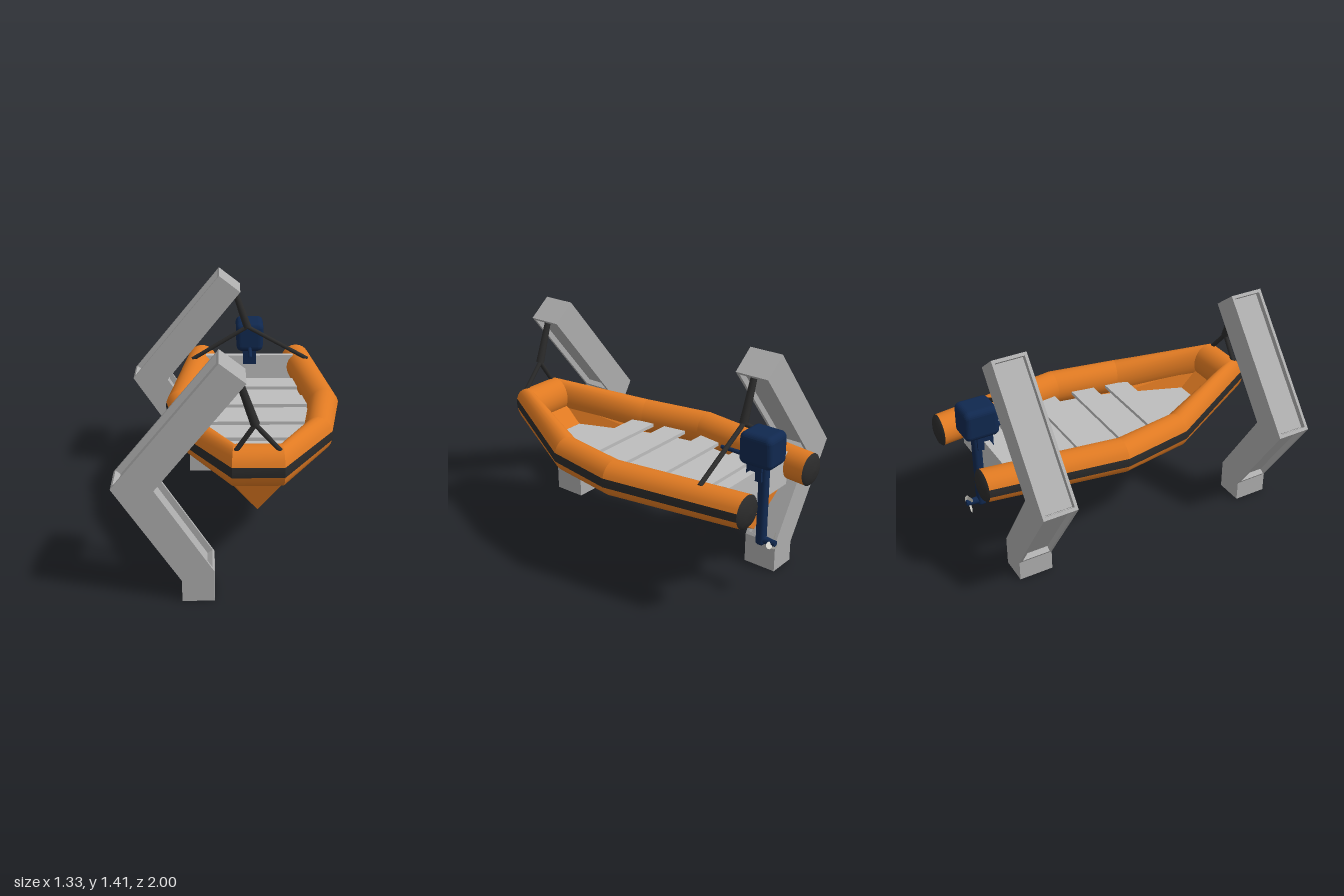
import * as THREE from 'three';
import { RoundedBoxGeometry } from 'three/addons/geometries/RoundedBoxGeometry.js';

const CX = 0.118; // centre line of the boat
const V = (x, y, z) => new THREE.Vector3(x, y, z);

function material(name, color, side = THREE.FrontSide) {
  const m = new THREE.MeshStandardMaterial({ color, side });
  m.name = name;
  return m;
}

// Flat faces from a list of three or four sided polygons
function facets(polys) {
  const pos = [];
  for (const p of polys) {
    for (let k = 1; k < p.length - 1; k++) for (const q of [p[0], p[k], p[k + 1]]) pos.push(...q);
  }
  const g = new THREE.BufferGeometry();
  g.setAttribute('position', new THREE.Float32BufferAttribute(pos, 3));
  g.computeVertexNormals();
  return g;
}

// Smooth skin between rings of points
function skin(rings) {
  const n = rings[0].length, index = [];
  for (let i = 0; i < rings.length - 1; i++) {
    for (let j = 0; j < n - 1; j++) {
      const a = i * n + j, b = a + n;
      index.push(a, a + 1, b, a + 1, b + 1, b);
    }
  }
  const g = new THREE.BufferGeometry().setFromPoints(rings.flat());
  g.setIndex(index);
  g.computeVertexNormals();
  return g;
}

export function createModel() {
  const root = new THREE.Group();
  root.name = 'inflatableBoatOnDavits';
  const orange = material('orange', 0xe07a22, THREE.DoubleSide);
  const black = material('black', 0x2b2b2b);
  const steel = material('davitGrey', 0xadadad);
  const deck = material('deckGrey', 0xbdbdbd, THREE.DoubleSide);
  const navy = material('navy', 0x10284f);
  const silver = material('silver', 0xd2d0c8, THREE.DoubleSide);

  const add = (name, geo, mat, parent = root) => {
    const m = new THREE.Mesh(geo, mat);
    m.name = name;
    parent.add(m);
    return m;
  };
  const group = (name) => {
    const g = new THREE.Group();
    g.name = name;
    root.add(g);
    return g;
  };
  const rod = (name, a, b, r0, r1, mat, parent) => {
    const m = add(name, new THREE.CylinderGeometry(r1, r0, a.distanceTo(b), 12), mat, parent);
    m.position.copy(a).add(b).multiplyScalar(0.5);
    m.quaternion.setFromUnitVectors(V(0, 1, 0), b.clone().sub(a).normalize());
    return m;
  };

  // Inflatable collar: stations of [offset, y, z, outward x, outward z, half width, half height]
  const side = [
    [0.33, 0.705, -0.97, 1, 0, 0.097, 0.1],
    [0.45, 0.697, -0.13, 1, 0, 0.096, 0.108],
    [0.378, 0.694, 0.298, 0.96, 0.27, 0.09, 0.11],
    [0.132, 0.778, 0.868, 0.1, 0.995, 0.103, 0.117],
  ];
  const stations = [...side, ...side.slice().reverse().map(([x, y, z, ax, ...r]) => [-x, y, z, -ax, ...r])];
  const N = 24;
  const arc = ([x, y, z, ax, az, h, v], j0, j1) => {
    const pts = [];
    for (let j = j0; j <= j1; j++) {
      const t = (j / N) * Math.PI * 2, c = Math.cos(t) * h;
      pts.push(V(CX + x + ax * c, y + Math.sin(t) * v, z + az * c));
    }
    return pts;
  };
  const collar = group('collar');
  for (let i = 0; i < stations.length - 1; i++) {
    const [a, b] = [stations[i], stations[i + 1]];
    add('collarTube', skin([arc(a, 1, N - 1), arc(b, 1, N - 1)]), orange, collar);
    add('rubbingStripe', skin([arc(a, -1, 1), arc(b, -1, 1)]), black, collar);
  }

  // Domed black ends of the collar
  const domeProfile = [[0.1, 0], [0.085, 0.014], [0.05, 0.025], [0, 0.03]].map((p) => new THREE.Vector2(...p));
  for (const s of [-1, 1]) {
    const cap = add('collarEndCap', new THREE.LatheGeometry(domeProfile, N), black, collar);
    cap.rotation.x = -Math.PI / 2;
    cap.position.set(CX + s * 0.33, 0.705, -0.97);
  }

  // V hull: [z, half width, top y, keel y, keel z]
  const hull = [
    [-0.81, 0.32, 0.61, 0.4, -0.81],
    [-0.72, 0.335, 0.61, 0.385, -0.72],
    [-0.13, 0.42, 0.61, 0.39, -0.13],
    [0.3, 0.36, 0.61, 0.395, 0.23],
    [0.91, 0.13, 0.68, 0.5, 0.86],
  ];
  const edge = (h, s) => [CX + s * h[1], h[2], h[0]];
  const keel = (h) => [CX, h[3], h[4]];
  const polys = [];
  for (let i = 0; i < hull.length - 1; i++) {
    const [a, b] = [hull[i], hull[i + 1]];
    polys.push([edge(a, 1), edge(b, 1), keel(b), keel(a)], [edge(a, -1), keel(a), keel(b), edge(b, -1)]);
  }
  const [stern, bow] = [hull[0], hull[4]];
  polys.push([edge(bow, -1), keel(bow), edge(bow, 1)], [edge(stern, 1), keel(stern), edge(stern, -1)]);
  add('hull', facets(polys), orange);

  // Bow lining rising from the floor to the collar
  const P = (x, y, z) => [CX + x, y, z];
  const lining = [[P(-0.135, 0.615, 0.68), P(0.135, 0.615, 0.68), P(0.13, 0.74, 0.8), P(-0.13, 0.74, 0.8)]];
  for (const s of [-1, 1]) {
    lining.push([P(s * 0.28, 0.615, 0.3), P(s * 0.34, 0.69, 0.3), P(s * 0.13, 0.74, 0.8), P(s * 0.135, 0.615, 0.68)]);
  }
  add('bowLining', facets(lining), orange);

  // Floor, thwarts and transom
  const half = [[0.31, -0.81], [0.41, -0.13], [0.29, 0.3], [0.135, 0.68]];
  const outline = [...half, ...half.slice().reverse().map(([x, z]) => [-x, z])];
  const floor = new THREE.ShapeGeometry(new THREE.Shape(outline.map(([x, z]) => new THREE.Vector2(x, -z))));
  floor.rotateX(-Math.PI / 2).translate(CX, 0.614, 0);
  add('floor', floor, deck);
  [[-0.54, 0.78], [-0.24, 0.84], [0.03, 0.84], [0.26, 0.68]].forEach(([z, w]) => {
    add('thwart', new THREE.BoxGeometry(w, 0.022, 0.15), deck).position.set(CX, 0.68, z);
  });
  add('transom', new THREE.BoxGeometry(0.6, 0.21, 0.035), deck).position.set(CX, 0.685, -0.812);

  // Outboard motor
  const motor = group('outboardMotor');
  const cowl = new RoundedBoxGeometry(0.195, 0.2, 0.23, 3, 0.035);
  const p = cowl.attributes.position;
  for (let i = 0; i < p.count; i++) {
    const t = p.getY(i) / 0.1;
    p.setX(i, p.getX(i) * (t < 0 ? 1 + 0.12 * t : 1 - 0.06 * t));
    p.setZ(i, p.getZ(i) * (t < 0 ? 1 + 0.08 * t : 1 - 0.12 * t));
  }
  cowl.computeVertexNormals();
  add('cowl', cowl, navy, motor).position.set(CX, 0.933, -0.845);
  add('leg', new RoundedBoxGeometry(0.06, 0.54, 0.055, 2, 0.02), navy, motor).position.set(CX, 0.59, -0.862);
  add('clampBracket', new THREE.BoxGeometry(0.09, 0.11, 0.1), navy, motor).position.set(CX, 0.79, -0.82);
  rod('tiller', V(CX, 0.855, -0.76), V(CX, 0.855, -0.565), 0.014, 0.011, navy, motor);
  rod('gearCase', V(CX, 0.355, -0.84), V(CX, 0.355, -0.96), 0.026, 0.018, navy, motor);
  for (let k = 0; k < 3; k++) {
    const blade = new THREE.CircleGeometry(0.026, 14).scale(0.8, 1.1, 1);
    blade.rotateY(0.6).translate(0, 0.036, 0).rotateZ((k * Math.PI * 2) / 3 + 0.5);
    add('propellerBlade', blade, silver, motor).position.set(CX, 0.355, -0.94);
  }

  // Davits: bent beams with a channel along both arms
  const profile = [[-0.3, 0], [-0.12, 0], [-0.12, 0.19], [-0.44, 0.69], [0.05, 1.3], [-0.09, 1.41], [-0.67, 0.7], [-0.3, 0.13]]
    .map((q) => new THREE.Vector2(...q));
  const core = [];
  profile.forEach((a, i) => {
    core.push(a);
    if (![2, 3, 5, 6].includes(i)) return;
    const u = profile[i + 1].clone().sub(a), len = u.length();
    u.normalize();
    const at = (s, d) => new THREE.Vector2(a.x + u.x * s - u.y * d, a.y + u.y * s + u.x * d);
    core.push(at(0.02, 0), at(0.02, 0.035), at(len - 0.02, 0.035), at(len - 0.02, 0));
  });
  const plate = (pts, depth, z) =>
    new THREE.ExtrudeGeometry(new THREE.Shape(pts), { depth, bevelEnabled: false }).translate(0, 0, z);
  for (const [name, z] of [['bowDavit', 0.785], ['sternDavit', -0.815]]) {
    const davit = group(name);
    add('web', plate(core, 0.179, z + 0.018), steel, davit);
    add('frontFlange', plate(profile, 0.018, z + 0.197), steel, davit);
    add('rearFlange', plate(profile, 0.018, z), steel, davit);
  }

  // Lifting slings: [z, spread, foot height]
  for (const [name, z, spread, y] of [['bowSling', 0.9, 0.125, 0.87], ['sternSling', -0.7, 0.39, 0.8]]) {
    const sling = group(name);
    const joint = V(0.1, 1.03, z);
    rod('fall', V(0.01, 1.29, z), joint, 0.019, 0.026, black, sling);
    for (const s of [-1, 1]) rod('slingLeg', joint, V(CX + s * spread, y, z), 0.014, 0.014, black, sling);
  }
  return root;
}
